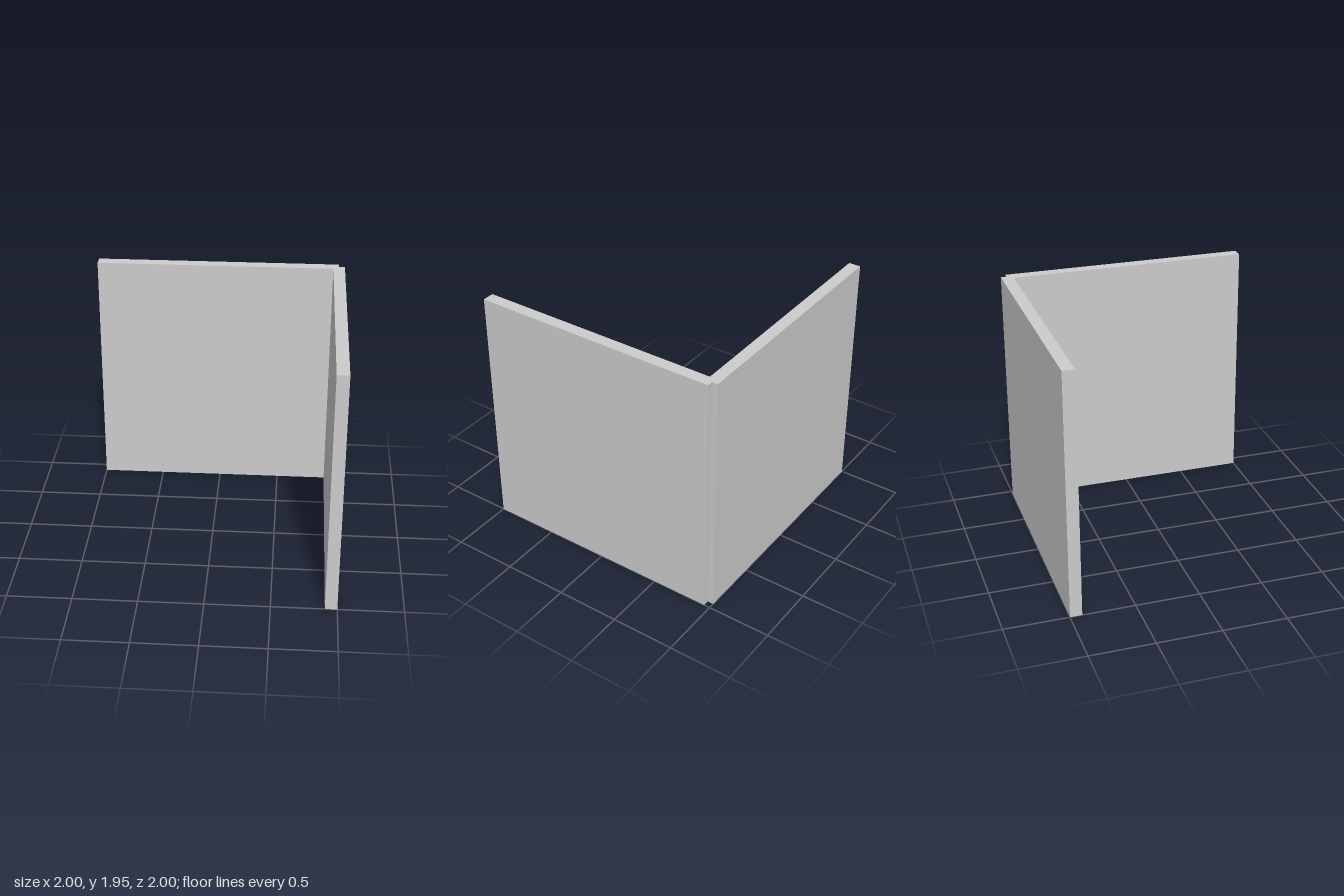
import * as THREE from 'three';

const HEIGHT = 1.953;
const THICK = 0.093;
const NOTCH = 0.047; // small step cut from the outer corner

export function createModel() {
  const group = new THREE.Group();
  group.name = 'cornerScreen';

  // L-shaped plan, drawn with the back of the model towards +y
  const inner = 1 - THICK;
  const step = 1 - NOTCH;
  const plan = new THREE.Shape([
    [-1, inner], [inner, inner], [inner, -1], [1, -1],
    [1, step], [step, step], [step, 1], [-1, 1],
  ].map(([x, y]) => new THREE.Vector2(x, y)));

  // Raise the plan into two upright panels joined at the corner
  const geometry = new THREE.ExtrudeGeometry(plan, { depth: HEIGHT, bevelEnabled: false });
  geometry.rotateX(-Math.PI / 2);

  const panels = new THREE.Mesh(
    geometry,
    new THREE.MeshStandardMaterial({ color: 0xcccccc }),
  );
  panels.name = 'cornerPanels';
  group.add(panels);
  return group;
}
